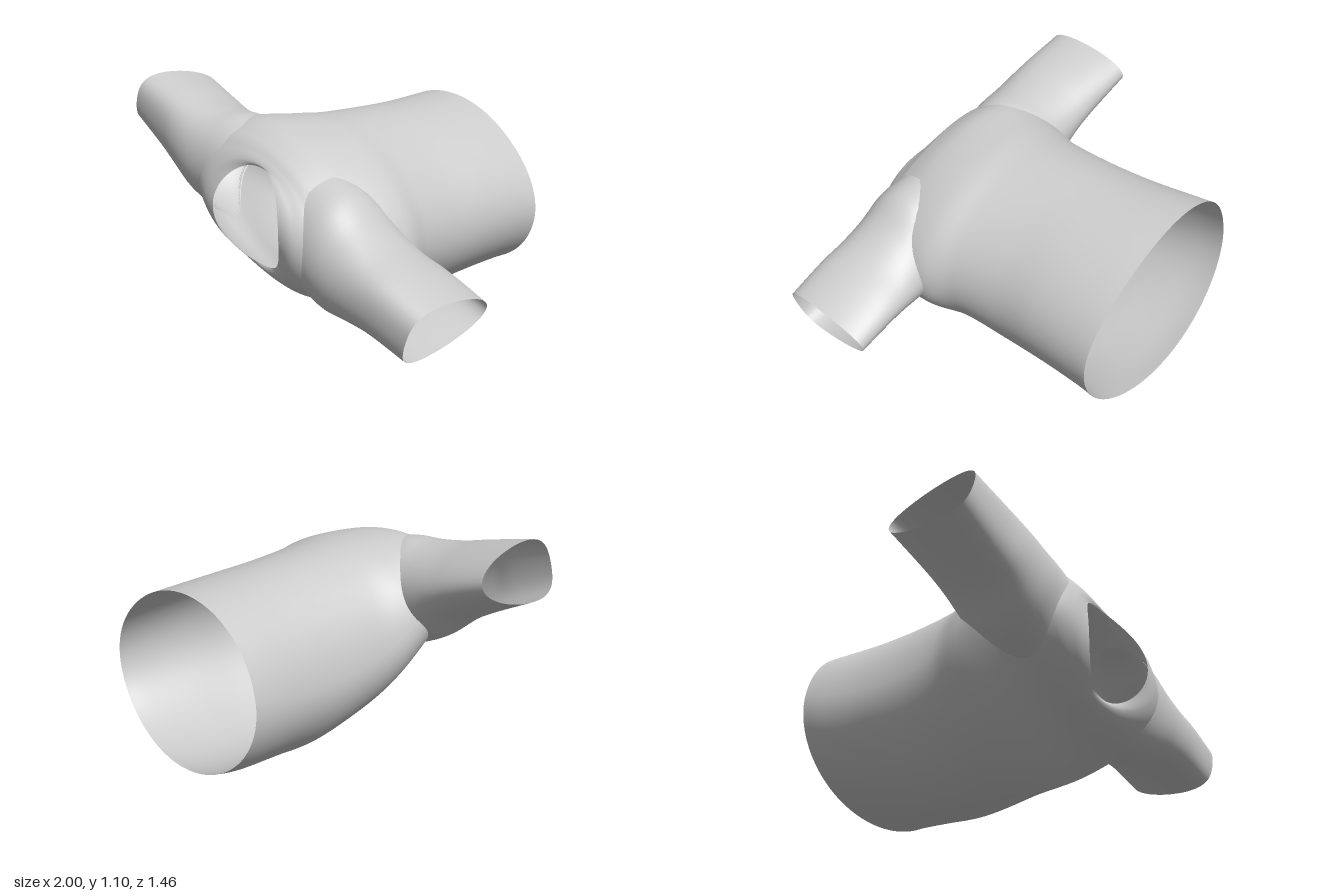
import * as THREE from 'three';

const material = new THREE.MeshStandardMaterial({ color: 0xcccccc, side: THREE.DoubleSide });

// Smoothly interpolates rows of section values, t in 0..1
function sample(rows, t) {
  const f = t * (rows.length - 1);
  const i = Math.min(Math.floor(f), rows.length - 2);
  const w = f - i;
  const row = (k) => rows[THREE.MathUtils.clamp(k, 0, rows.length - 1)];
  return rows[0].map((_, c) => {
    const p0 = row(i - 1)[c], p1 = row(i)[c], p2 = row(i + 1)[c], p3 = row(i + 2)[c];
    const m1 = (p2 - p0) / 2, m2 = (p3 - p1) / 2;
    return p1 + m1 * w + (3 * (p2 - p1) - 2 * m1 - m2) * w * w + (2 * (p1 - p2) + m1 + m2) * w ** 3;
  });
}

// Open tube: point(angle, t) gives the surface, skip(point) marks cloth cut away
function tube(point, around, along, flip = false, skip = null) {
  const points = [], index = [];
  for (let j = 0; j <= along; j++) {
    for (let i = 0; i < around; i++) points.push(point((i / around) * Math.PI * 2, j / along));
  }
  const cut = points.map((p) => (skip ? skip(p) : false));
  const face = (a, b, c) => {
    if (!(cut[a] && cut[b] && cut[c])) index.push(a, b, c);
  };
  for (let j = 0; j < along; j++) {
    for (let i = 0; i < around; i++) {
      const n = (i + 1) % around;
      const a = j * around + i, b = j * around + n, c = a + around, d = b + around;
      if (flip) {
        face(a, c, b);
        face(b, c, d);
      } else {
        face(a, b, c);
        face(b, d, c);
      }
    }
  }
  const geometry = new THREE.BufferGeometry().setFromPoints(points);
  geometry.setIndex(index);
  geometry.computeVertexNormals();
  return geometry;
}

// Torso rings from hem to neckline:
// z, centre x, centre y, half width, half height, tilt, dip, lean of the upper half, pinch of the lower half
const torsoRings = [
  [-0.70, -0.05, 0.490, 0.545, 0.420, -0.20, 0.025, 0.15, 0],
  [-0.60, -0.05, 0.482, 0.535, 0.436, -0.15, 0.01, 0.15, 0.02],
  [-0.38, -0.04, 0.474, 0.515, 0.454, -0.10, 0, 0.15, 0.04],
  [-0.15, -0.035, 0.472, 0.505, 0.468, -0.10, 0, 0.15, 0.05],
  [0.08, -0.02, 0.502, 0.520, 0.452, -0.12, 0, 0.14, 0.05],
  [0.25, 0, 0.540, 0.570, 0.424, -0.22, 0, 0.1, 0.05],
  [0.45, 0, 0.605, 0.575, 0.350, -0.34, 0, 0.06, 0.03],
  [0.60, 0, 0.614, 0.520, 0.300, -0.32, 0.03, 0.06, 0],
  [0.68, 0, 0.610, 0.440, 0.266, -0.28, 0.06, 0.05, 0],
  [0.72, 0, 0.610, 0.340, 0.245, -0.20, 0.08, 0.03, 0],
  [0.73, 0.005, 0.612, 0.245, 0.233, 0, 0.09, 0.03, 0],
];

function torsoPoint(angle, t) {
  const [z, cx, cy, a, b, tilt, dip, lean, pinch] = sample(torsoRings, t);
  const upper = lean * Math.max(0, Math.sin(angle)) ** 2 * Math.cos(angle);
  const lower = Math.sin(angle) < 0 ? pinch * Math.sin(2 * angle) ** 2 : 0;
  const swell = 1 - upper - lower;
  const x = a * swell * Math.cos(angle), y = b * swell * Math.sin(angle);
  return new THREE.Vector3(
    cx + x * Math.cos(tilt) - y * Math.sin(tilt),
    cy + x * Math.sin(tilt) + y * Math.cos(tilt),
    z - dip * Math.sin(angle) ** 2
  );
}

// Both sleeves follow one sloping shoulder line
const slope = -0.309, shoulderY = 0.667;
const cs = Math.cos(slope), sn = Math.sin(slope);

// Sleeve rings from cuff inward: distance, offset, half height, centre z, half depth, forward swell
const sleeves = [
  { name: 'leftSleeve', side: 1, rings: [
    [1.005, 0, 0.135, 0.435, 0.235, 0.09],
    [0.80, -0.003, 0.153, 0.445, 0.24, 0.08],
    [0.66, -0.022, 0.178, 0.455, 0.24, 0.06],
    [0.52, -0.035, 0.225, 0.465, 0.24, 0.03],
    [0.38, -0.018, 0.264, 0.47, 0.235, 0.01],
    [0.24, -0.02, 0.270, 0.47, 0.22, 0],
  ] },
  { name: 'rightSleeve', side: -1, rings: [
    [1.003, 0, 0.135, 0.445, 0.235, 0.09],
    [0.78, -0.012, 0.165, 0.455, 0.235, 0.08],
    [0.64, -0.026, 0.187, 0.465, 0.24, 0.06],
    [0.50, -0.045, 0.230, 0.47, 0.24, 0.03],
    [0.38, -0.04, 0.260, 0.47, 0.23, 0.01],
    [0.24, -0.04, 0.268, 0.47, 0.22, 0],
  ] },
];

function sleevePoint({ side, rings }, angle, t) {
  const [d, offset, h, cz, depth, swell] = sample(rings, t);
  const u = side * d, v = offset + h * Math.sin(angle);
  const z = cz + depth * Math.cos(angle) + swell * Math.sin(angle) ** 2;
  return new THREE.Vector3(u * cs - v * sn, shoulderY + u * sn + v * cs, z);
}

function insideSleeve({ side, rings }, p) {
  const y = p.y - shoulderY;
  const u = side * (p.x * cs + y * sn), v = -p.x * sn + y * cs;
  if (u < 0.24 || u > 1) return false;
  let lo = 0, hi = 1;
  for (let k = 0; k < 16; k++) {
    const mid = (lo + hi) / 2;
    if (sample(rings, mid)[0] > u) lo = mid;
    else hi = mid;
  }
  const [, offset, h, cz, depth, swell] = sample(rings, lo);
  const s = (v - offset) / h;
  return s * s + ((p.z - cz - swell * s * s) / depth) ** 2 < 1;
}

// How far inward a sleeve runs at this angle before it meets the torso
function seamAt(sleeve, angle, torso) {
  const ray = new THREE.Raycaster();
  const steps = 20;
  let from = sleevePoint(sleeve, angle, 0);
  for (let k = 1; k <= steps; k++) {
    const to = sleevePoint(sleeve, angle, k / steps);
    const length = from.distanceTo(to);
    ray.set(from, to.clone().sub(from).normalize());
    ray.far = length;
    const hit = ray.intersectObject(torso)[0];
    if (hit) return Math.min(1, (k - 1 + hit.distance / length) / steps + 0.01);
    from = to;
  }
  return 1;
}

export function createModel() {
  const group = new THREE.Group();
  const add = (name, geometry) => {
    const mesh = new THREE.Mesh(geometry, material);
    mesh.name = name;
    group.add(mesh);
  };

  // Torso, open at hem and neck, with armholes cut out
  add('torso', tube(torsoPoint, 240, 180, false, (p) => sleeves.some((s) => insideSleeve(s, p))));

  // Sleeves, trimmed to the torso surface
  const uncut = new THREE.Mesh(tube(torsoPoint, 72, 50), material);
  const around = 64;
  for (const sleeve of sleeves) {
    const seams = Array.from({ length: around }, (_, i) => seamAt(sleeve, (i / around) * Math.PI * 2, uncut));
    const point = (angle, t) =>
      sleevePoint(sleeve, angle, t * seams[Math.round((angle / (Math.PI * 2)) * around) % around]);
    add(sleeve.name, tube(point, around, 24, sleeve.side < 0));
  }
  return group;
}
